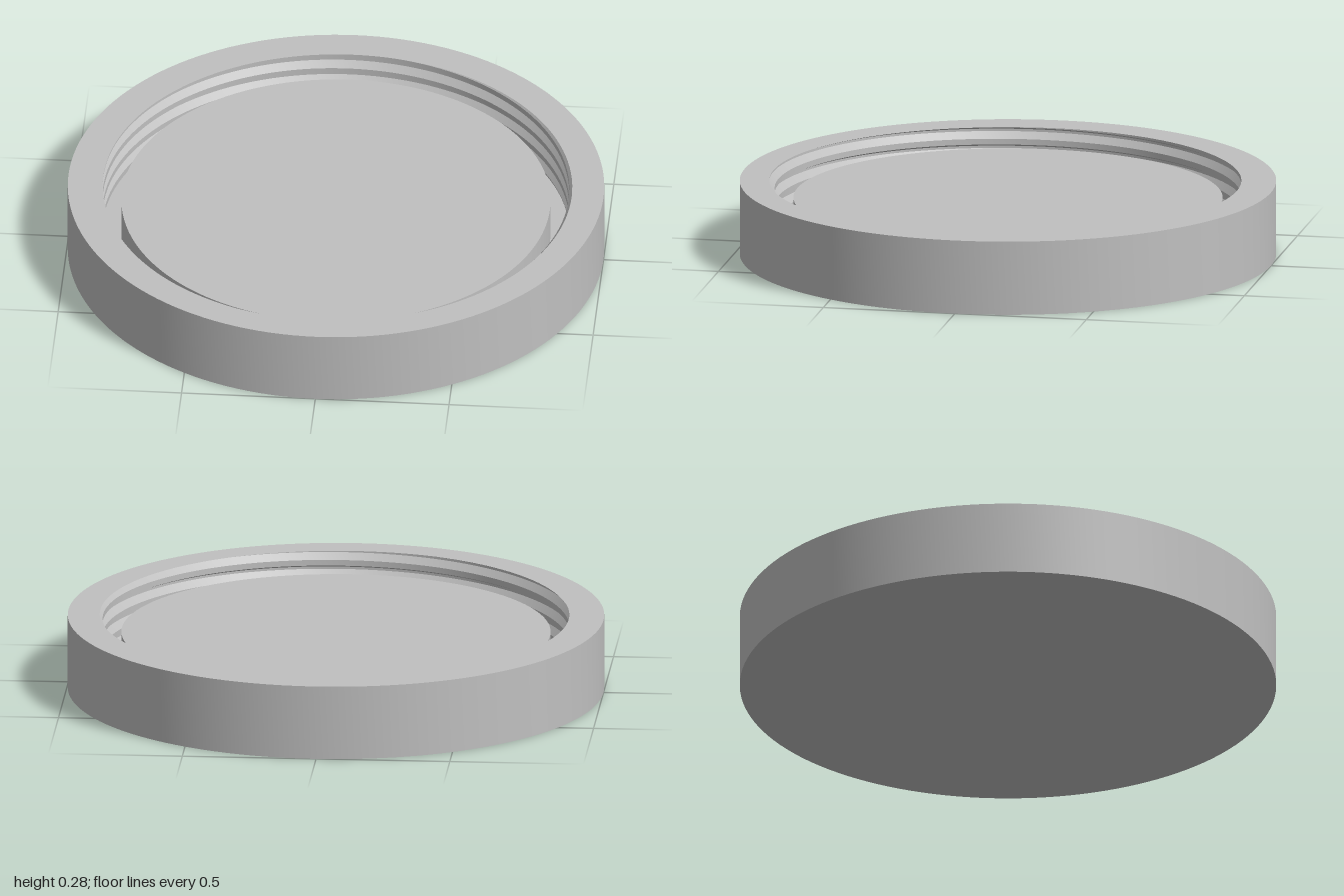
import * as THREE from 'three';
import { toCreasedNormals } from 'three/addons/utils/BufferGeometryUtils.js';

const SEG = 144, TOP = 0.28, FLOOR = 0.07, PITCH = 0.065;
// Thread groove across one turn: [phase in degrees, radius]
const GROOVE = [[-160, 0.87], [-110, 0.89], [-60, 0.89], [80, 0.87], [200, 0.87]];

function grooveRadius(phase) {
  const p = THREE.MathUtils.euclideanModulo(phase + 160, 360) - 160;
  for (let i = 1; i < GROOVE.length; i++) {
    const [p0, r0] = GROOVE[i - 1], [p1, r1] = GROOVE[i];
    if (p <= p1) return r0 + (r1 - r0) * (p - p0) / (p1 - p0);
  }
  return 0.87;
}

// Flat rim and helically grooved inner wall, as one strip of rows
function threadGeometry() {
  const phases = [];
  for (let turn = 0; turn <= 5; turn++)
    for (const [p] of GROOVE.slice(0, 4)) phases.push(p + turn * 360);

  const pos = [], index = [];
  const addRow = (at) => {
    for (let j = 0; j <= SEG; j++) {
      const deg = (j / SEG) * 360, a = THREE.MathUtils.degToRad(deg);
      const [r, y] = at(deg);
      pos.push(r * Math.cos(a), y, -r * Math.sin(a));
    }
  };
  addRow(() => [1, TOP]);
  for (const p of phases) addRow((deg) => {
    const y = THREE.MathUtils.clamp(TOP - PITCH * (p - deg) / 360, FLOOR, TOP);
    return [grooveRadius(deg + 360 * (TOP - y) / PITCH), y];
  });

  for (let i = 0; i < phases.length; i++)
    for (let j = 0; j < SEG; j++) {
      const a = i * (SEG + 1) + j, c = a + SEG + 1;
      index.push(a, a + 1, c, a + 1, c + 1, c);
    }
  const geo = new THREE.BufferGeometry();
  geo.setAttribute('position', new THREE.Float32BufferAttribute(pos, 3));
  geo.setIndex(index);
  return toCreasedNormals(geo, 0.35);
}

function lathe(points) {
  const geo = new THREE.LatheGeometry(points.map(([r, y]) => new THREE.Vector2(r, y)), SEG);
  return toCreasedNormals(geo, 0.35);
}

export function createModel() {
  const group = new THREE.Group();
  group.name = 'jarLid';
  const grey = new THREE.MeshStandardMaterial({ color: 0xc0c0c0 });
  grey.name = 'lightGrey';

  const add = (name, geo) => {
    const mesh = new THREE.Mesh(geo, grey);
    mesh.name = name;
    group.add(mesh);
  };

  // Underside and outer wall
  add('outerShell', lathe([[0, 0], [1, 0], [1, TOP]]));
  // Rim and screw thread
  add('threadedRim', threadGeometry());
  // Channel floor and raised centre plug
  add('centrePlug', lathe([[0.895, FLOOR], [0.8, FLOOR], [0.8, 0.215], [0, 0.215]]));

  return group;
}
